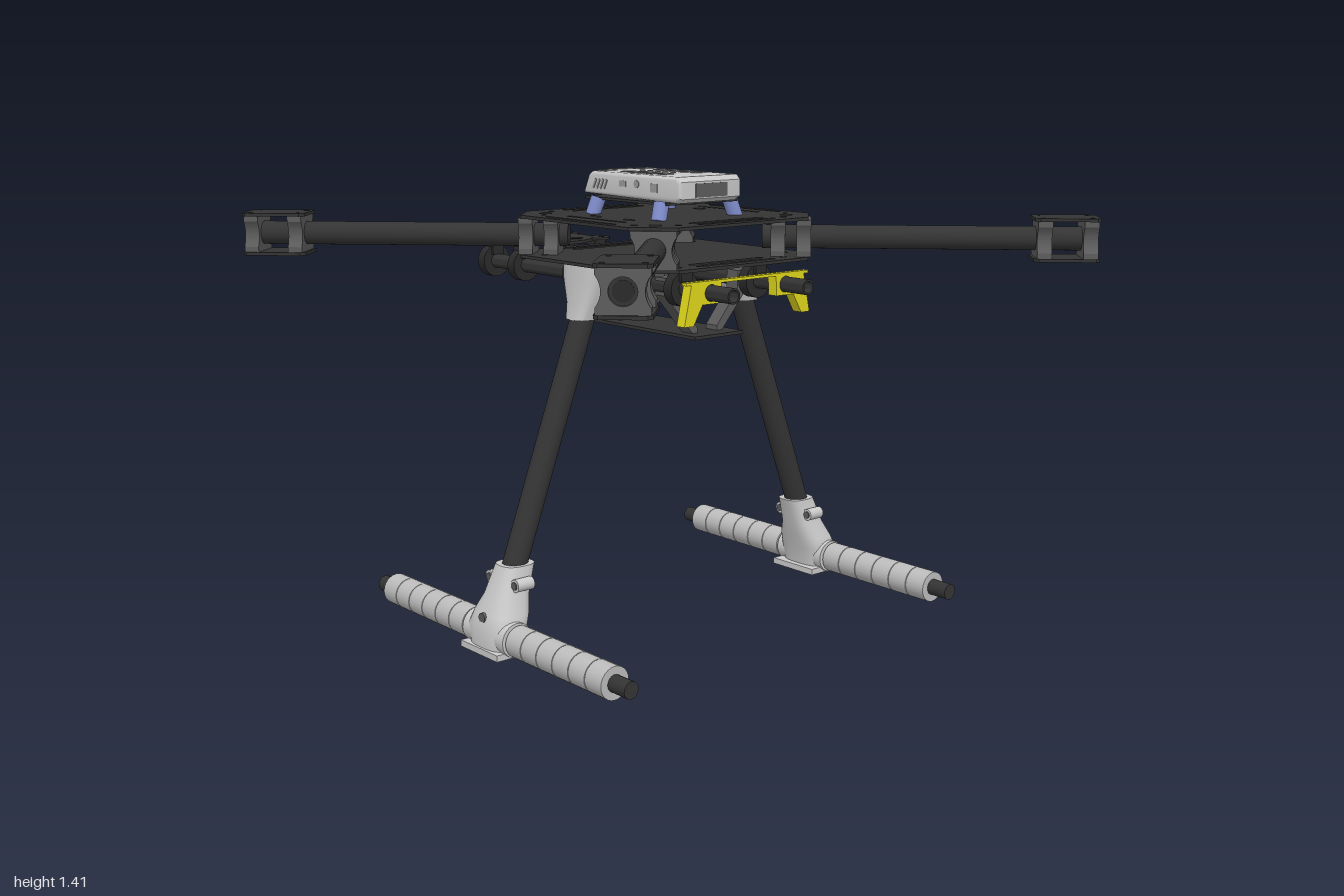
import * as THREE from 'three';
import { toCreasedNormals } from 'three/addons/utils/BufferGeometryUtils.js';
import { RoundedBoxGeometry } from 'three/addons/geometries/RoundedBoxGeometry.js';

const material = (name, color) => Object.assign(new THREE.MeshStandardMaterial({ color }), { name });
const carbon = material('carbon black', 0x343434);
const rubber = material('rubber black', 0x2a2a2a);
const metal = material('dark grey metal', 0x5c5c5c);
const plastic = material('light grey plastic', 0xc9c9c9);
const foam = material('foam grey', 0xbcbcbc);
const trim = material('trim grey', 0x9a9a9a);
const blue = material('damper blue', 0x7f8ccb);
const yellow = material('yellow', 0xe0d81c);

const SIDES = [1, -1];

function add(parent, name, geometry, mat, x = 0, y = 0, z = 0) {
  const mesh = new THREE.Mesh(geometry, mat);
  mesh.name = name;
  mesh.position.set(x, y, z);
  parent.add(mesh);
  return mesh;
}
const box = (w, h, d) => new THREE.BoxGeometry(w, h, d);
const cylX = (r, len) => new THREE.CylinderGeometry(r, r, len, 24).rotateZ(Math.PI / 2);
const cylZ = (r, len) => new THREE.CylinderGeometry(r, r, len, 24).rotateX(Math.PI / 2);

// Rod between two points
function rod(parent, name, a, b, r, mat) {
  const from = new THREE.Vector3(...a), to = new THREE.Vector3(...b);
  const dir = to.clone().sub(from);
  const mesh = add(parent, name, new THREE.CylinderGeometry(r, r, dir.length(), 24), mat);
  mesh.position.copy(from).add(to).multiplyScalar(0.5);
  mesh.quaternion.setFromUnitVectors(new THREE.Vector3(0, 1, 0), dir.normalize());
  return mesh;
}

const extrude = (shape, depth) =>
  new THREE.ExtrudeGeometry(shape, { depth, bevelEnabled: false, curveSegments: 10 });
const polygon = (points) => new THREE.Shape(points.map((p) => new THREE.Vector2(...p)));
const circle = (x, y, r) => new THREE.Path().absarc(x, y, r, 0, Math.PI * 2, true);
// Flat sheet in the xz plane, its top at local y = 0
const sheet = (shape, t) => extrude(shape, t).rotateX(Math.PI / 2);
// Shape drawn as (z, y), thickened towards -x
const sidePlate = (shape, t) => extrude(shape, t).rotateY(-Math.PI / 2);

// Round-ended slot, optionally turned
function slot(x, z, w, h, angle = 0) {
  const long = Math.max(w, h), r = Math.min(w, h) / 2;
  const turn = angle + (h > w ? Math.PI / 2 : 0), points = [];
  for (let i = 0; i < 14; i++) {
    const end = i < 7 ? 1 : -1;
    const a = -Math.PI / 2 + (i % 7) * Math.PI / 6 + (end < 0 ? Math.PI : 0);
    points.push(new THREE.Vector2(end * (long / 2 - r) + r * Math.cos(a), r * Math.sin(a))
      .rotateAround(new THREE.Vector2(), turn).add(new THREE.Vector2(x, z)));
  }
  return new THREE.Path(points);
}

// Loft of rounded sections [y, centre z, half width, half depth], from bottom to top
function loft(sections, power = 0.6) {
  const n = 28, pos = [], index = [];
  const ease = (v) => Math.sign(v) * Math.abs(v) ** power;
  for (const [y, cz, rx, rz] of sections)
    for (let i = 0; i < n; i++) {
      const a = (i / n) * Math.PI * 2;
      pos.push(rx * ease(Math.cos(a)), y, cz + rz * ease(Math.sin(a)));
    }
  const last = (sections.length - 1) * n;
  for (let s = 0; s < last; s += n)
    for (let i = 0; i < n; i++) {
      const j = (i + 1) % n;
      index.push(s + i, s + n + i, s + j, s + j, s + n + i, s + n + j);
    }
  for (let i = 1; i < n - 1; i++) index.push(0, i, i + 1, last, last + i + 1, last + i);
  const g = new THREE.BufferGeometry();
  g.setAttribute('position', new THREE.Float32BufferAttribute(pos, 3));
  g.setIndex(index);
  return toCreasedNormals(g, 0.6);
}

// Octagonal deck with side slots and screw holes
function deckPlate(isTop) {
  const a = 0.37, b = 0.265;
  const s = polygon([[a, -b], [a, b], [b, a], [-b, a], [-a, b], [-a, -b], [-b, -a], [b, -a]]);
  for (const i of SIDES) {
    s.holes.push(slot(i * 0.285, 0, 0.022, 0.3), slot(i * 0.328, 0, 0.016, 0.32));
    if (isTop) s.holes.push(slot(0, i * 0.338, 0.34, 0.014), slot(0, i * 0.275, 0.3, 0.012));
    for (const j of SIDES) {
      s.holes.push(circle(i * 0.22, j * 0.31, 0.011), circle(i * 0.31, j * 0.215, 0.011));
      if (isTop) s.holes.push(circle(i * 0.268, j * 0.268, 0.02), slot(i * 0.08, j * 0.215, 0.05, 0.022));
    }
  }
  return sheet(s, 0.01);
}

// Clamp block with waisted sides, centred on the arm axis
function clampBlock(length) {
  const s = new THREE.Shape().moveTo(-0.068, -0.057).lineTo(0.068, -0.057).lineTo(0.068, -0.04)
    .quadraticCurveTo(0.04, 0, 0.068, 0.04).lineTo(0.068, 0.057).lineTo(-0.068, 0.057)
    .lineTo(-0.068, 0.04).quadraticCurveTo(-0.04, 0, -0.068, -0.04);
  s.holes.push(circle(0, 0, 0.036));
  return extrude(s, length).translate(0, 0, -length / 2);
}

function buildArm(angle) {
  const arm = new THREE.Group();
  arm.name = 'arm';
  arm.rotation.y = angle;
  arm.position.y = 1.213;
  add(arm, 'armTube', cylZ(0.037, 1.02), carbon, 0, 0, 0.815);
  add(arm, 'armTubeBore', cylZ(0.027, 0.004), rubber, 0, 0, 1.325);
  for (const d of [0.355, 0.435, 1.172, 1.312]) add(arm, 'armClamp', clampBlock(0.045), metal, 0, 0, d);
  const plate = polygon([[-0.06, 1.14], [0.06, 1.14], [0.073, 1.155], [0.073, 1.328],
    [0.06, 1.341], [-0.06, 1.341], [-0.073, 1.328], [-0.073, 1.155]]);
  for (const i of SIDES) for (const d of [1.165, 1.316]) plate.holes.push(circle(i * 0.052, d, 0.009));
  for (const y of [0.067, -0.057]) add(arm, 'motorPlate', sheet(plate, 0.01), carbon, 0, y, 0);
  return arm;
}

function buildLeg() {
  const leg = new THREE.Group();
  leg.name = 'landingLeg';
  rod(leg, 'legTube', [0, 0.12, 0.652], [0, 1.06, 0.304], 0.038, carbon);
  add(leg, 'legSocket', loft([[0.98, 0.333, 0.046, 0.043], [1.03, 0.316, 0.058, 0.05],
    [1.1, 0.294, 0.085, 0.07], [1.148, 0.285, 0.095, 0.075]]), plastic);
  for (const i of SIDES) {
    add(leg, 'socketBolt', cylX(0.014, 0.02), metal, i * 0.082, 1.08, 0.3);
    add(leg, 'footBolt', cylZ(0.02, 0.06), plastic, i * 0.066, 0.21, 0.62);
    add(leg, 'footBoltHead', cylZ(0.012, 0.068), metal, i * 0.066, 0.21, 0.62);
    // Segmented foam sleeve
    for (let k = 0; k < 6; k++) add(leg, 'foamSleeve', cylX(0.05, 0.073), foam, i * (0.151 + k * 0.076), 0.055, 0.672);
  }
  add(leg, 'footFitting', loft([[0.02, 0.672, 0.09, 0.06], [0.08, 0.668, 0.098, 0.066],
    [0.12, 0.653, 0.088, 0.066], [0.17, 0.634, 0.064, 0.06], [0.26, 0.601, 0.05, 0.055]], 0.7), plastic);
  add(leg, 'footPad', box(0.19, 0.02, 0.15), plastic, 0, 0.01, 0.665);
  add(leg, 'footSleeve', cylX(0.054, 0.21), plastic, 0, 0.055, 0.672);
  add(leg, 'footScrew', cylZ(0.016, 0.01), metal, 0, 0.11, 0.722);
  add(leg, 'skidTube', cylX(0.026, 1.28), carbon, 0, 0.055, 0.672);
  return leg;
}

// Electronics case with ports and vents
function buildCase() {
  const unit = new THREE.Group();
  unit.name = 'computerCase';
  const profile = polygon([[-0.243, 1.348], [0.19, 1.342], [0.203, 1.35], [0.203, 1.39], [0.195, 1.398], [-0.21, 1.398], [-0.222, 1.39]]);
  const shell = new THREE.ExtrudeGeometry(profile, { depth: 0.23, bevelSize: 0.012, bevelThickness: 0.012, bevelSegments: 3 });
  add(unit, 'caseShell', toCreasedNormals(shell.translate(0, 0, -0.115), 0.6), plastic);
  for (const i of SIDES) {
    for (let k = 0; k < 5; k++)
      add(unit, 'topVent', box(0.026, 0.004, k % 4 ? 0.062 : 0.045), trim, -0.1 + k * 0.045, 1.411, i * 0.067);
    add(unit, 'topVent', box(0.026, 0.004, 0.055), trim, -0.19, 1.411, i * 0.077);
    for (let k = 0; k < 4; k++) {
      const grille = add(unit, 'sideVent', box(0.008, 0.032, 0.004), trim, -0.195 + k * 0.018, 1.372, i * 0.127);
      grille.rotation.z = -0.5;
    }
    add(unit, 'sidePort', box(0.032, 0.018, 0.004), trim, -0.055, 1.378, i * 0.127);
    add(unit, 'sideButton', cylZ(0.012, 0.004), trim, 0.012, 1.38, i * 0.127);
    add(unit, 'sidePort', box(0.032, 0.026, 0.004), trim, 0.095, 1.372, i * 0.127);
  }
  for (let k = 0; k < 5; k++)
    add(unit, 'topButton', new THREE.CylinderGeometry(0.009, 0.009, 0.004, 12), trim, -0.11 + k * 0.037, 1.411, 0);
  add(unit, 'topLine', box(0.008, 0.004, 0.09), trim, -0.218, 1.411, 0);
  add(unit, 'endPort', box(0.004, 0.042, 0.13), metal, 0.215, 1.368, 0);
  // Tray on tilted dampers
  add(unit, 'caseTray', box(0.395, 0.008, 0.29), carbon, -0.022, 1.328, 0);
  for (const x of [-0.16, 0.145])
    for (const i of SIDES)
      rod(unit, 'damper', [x - Math.sign(x) * -0.008, 1.275, i * 0.158], [x, 1.33, i * 0.14], 0.024, blue);
  return unit;
}

// Rails, clamps and the hanging battery tray
function buildUnderside() {
  const under = new THREE.Group();
  under.name = 'railSystem';
  for (const i of SIDES) {
    const ring = new THREE.Shape().absarc(0, 0, 0.024, 0, Math.PI * 2);
    ring.holes.push(circle(0, 0, 0.018));
    add(under, 'rail', toCreasedNormals(sidePlate(ring, 1.265), 0.7), carbon, 0.484, 1.083, i * 0.153);
    const collar = new THREE.Shape().absarc(0, 0, 0.054, 0, Math.PI * 2);
    collar.holes.push(circle(0, 0, 0.023));
    for (const x of [-0.722, -0.55, -0.25, 0.25]) {
      add(under, 'railCollar', toCreasedNormals(sidePlate(collar, 0.036), 0.7), rubber, x + 0.018, 1.083, i * 0.153);
      add(under, 'collarMount', box(0.055, 0.045, 0.045), rubber, x, 1.128, i * 0.153);
    }
    for (const x of [-0.175, 0.175]) {
      // Sloping strap from rail to tray
      const strap = polygon([[i * 0.17, 1.11], [i * 0.128, 1.11], [i * 0.125, 1.05], [i * 0.04, 0.945],
        [i * 0.04, 0.928], [i * 0.06, 0.928], [i * 0.17, 1.055]]);
      strap.holes.push(circle(i * 0.153, 1.083, 0.013));
      add(under, 'trayStrap', sidePlate(strap, 0.05), metal, x + 0.025, 0, 0);
    }
    const hook = polygon([[i * 0.258, 0.99], [i * 0.222, 0.99], [i * 0.187, 1.05], [i * 0.115, 1.05], [i * 0.112, 1.115], [i * 0.23, 1.115]]);
    hook.holes.push(circle(i * 0.153, 1.083, 0.025));
    add(under, 'yellowHook', sidePlate(hook, 0.035), yellow, 0.386, 0, 0);
  }
  add(under, 'yellowBar', box(0.02, 0.009, 0.5), yellow, 0.376, 1.115, 0);
  add(under, 'batteryTray', box(0.5, 0.01, 0.2), carbon, 0.005, 0.925, 0);
  // Round accessory plate with radial slots
  const disc = new THREE.Shape().absarc(0, 0, 0.165, 0, Math.PI * 2);
  disc.holes.push(slot(0, 0, 0.27, 0.014));
  for (const i of SIDES) {
    disc.holes.push(slot(0, i * 0.07, 0.012, 0.075));
    for (const j of SIDES) {
      disc.holes.push(slot(i * 0.06, j * 0.065, 0.09, 0.015, i * j * 0.62));
      disc.holes.push(slot(i * 0.105, j * 0.05, 0.075, 0.014, i * j * 0.62));
      const ear = new THREE.Shape().absarc(0, 0, 0.045, 0, Math.PI * 2);
      ear.holes.push(circle(0, j * 0.02, 0.01));
      add(under, 'plateEar', sheet(ear, 0.008), carbon, -0.636 + i * 0.086, 1.156, j * 0.16);
    }
  }
  add(under, 'accessoryPlate', sheet(disc, 0.01), carbon, -0.636, 1.157, 0);
  return under;
}

export function createModel() {
  const model = new THREE.Group();
  model.name = 'quadcopter';
  add(model, 'topDeck', deckPlate(true), carbon, 0, 1.28, 0);
  add(model, 'lowerDeck', deckPlate(false), carbon, 0, 1.156, 0);
  for (let k = 0; k < 4; k++) model.add(buildArm(Math.PI / 4 + k * Math.PI / 2));
  for (const turn of [0, Math.PI]) {
    const leg = buildLeg();
    leg.rotation.y = turn;
    model.add(leg);
  }
  model.add(buildCase(), buildUnderside());
  return model;
}
